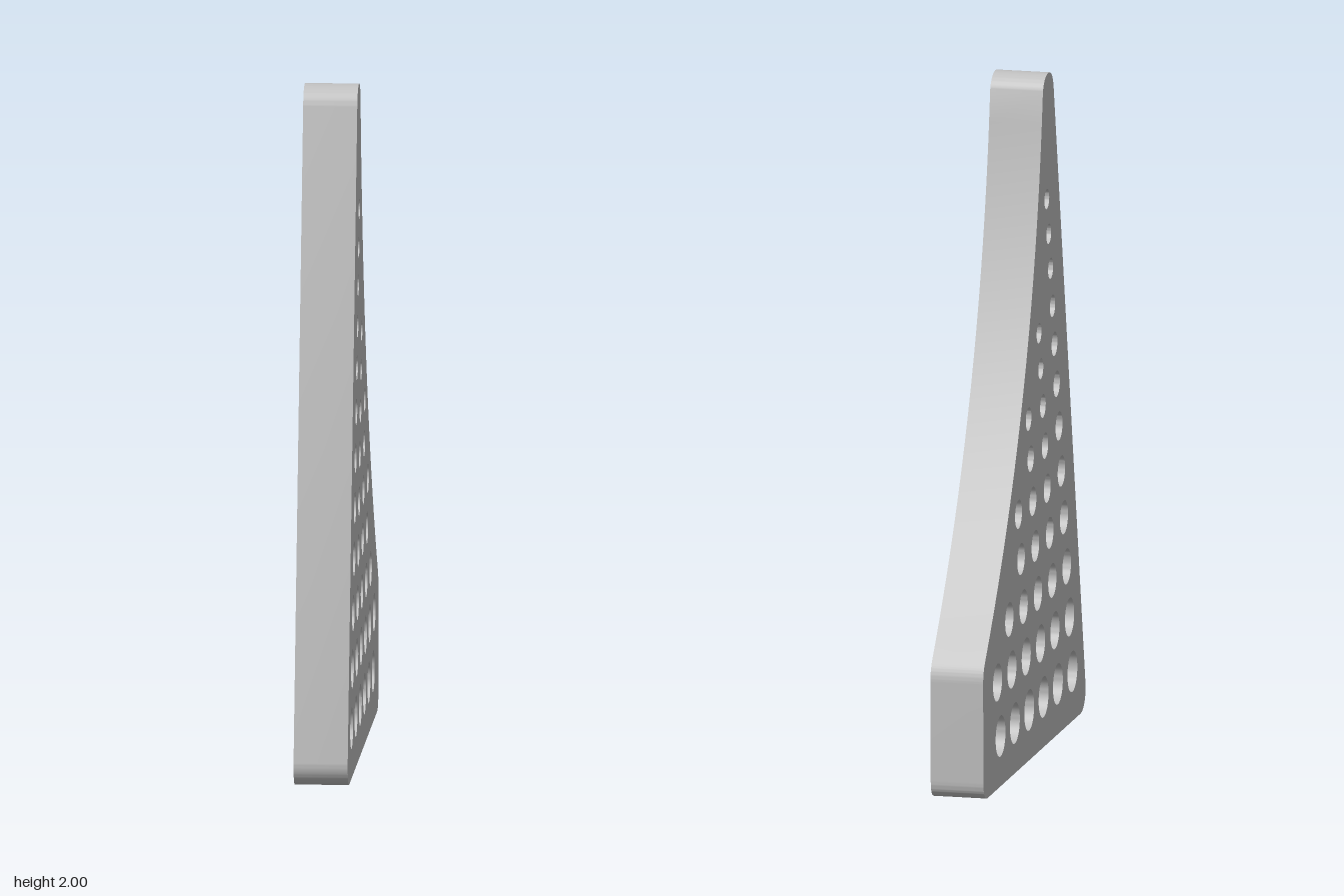
import * as THREE from 'three';
import { toCreasedNormals } from 'three/addons/utils/BufferGeometryUtils.js';

const THICKNESS = 0.158;
const COLUMN_STEP = 0.177;

// Edge column of holes: [z, y, radius]
const EDGE_HOLES = [
  [0.47, 0.148, 0.061], [0.435, 0.318, 0.057], [0.4, 0.477, 0.053], [0.366, 0.631, 0.05],
  [0.334, 0.776, 0.046], [0.305, 0.917, 0.043], [0.276, 1.049, 0.039], [0.249, 1.174, 0.036],
  [0.225, 1.293, 0.033], [0.201, 1.41, 0.031], [0.178, 1.518, 0.03], [0.154, 1.627, 0.03],
];

// Inner column, repeated backwards with fewer holes each time
const INNER_HOLES = [
  [0.291, 0.15, 0.061], [0.254, 0.318, 0.056], [0.222, 0.474, 0.051],
  [0.19, 0.623, 0.047], [0.159, 0.763, 0.043], [0.132, 0.896, 0.039],
  [0.106, 1.02, 0.035], [0.08, 1.137, 0.031], [0.058, 1.248, 0.03],
];
const INNER_COUNTS = [9, 7, 5, 3, 2];

// Side outline, drawn with shape x as model z
function finOutline() {
  const s = new THREE.Shape();
  s.moveTo(0.57, 0);
  s.bezierCurveTo(0.61, 0, 0.64, 0.035, 0.631, 0.08); // front foot corner
  s.lineTo(0.238, 1.945); // straight leading edge
  s.bezierCurveTo(0.23, 1.98, 0.205, 2, 0.17, 2); // rounded tip
  s.bezierCurveTo(0.136, 2, 0.11, 1.98, 0.105, 1.95);
  s.quadraticCurveTo(-0.008, 1.07, -0.61, 0.41); // concave trailing edge
  s.quadraticCurveTo(-0.632, 0.385, -0.632, 0.35);
  s.lineTo(-0.628, 0.055); // heel
  s.quadraticCurveTo(-0.628, 0, -0.573, 0);
  s.closePath();
  return s;
}

export function createModel() {
  const group = new THREE.Group();
  const grey = new THREE.MeshStandardMaterial({ color: 0xc0c0c0 });
  grey.name = 'plain grey';

  const shape = finOutline();
  const drill = (z, y, r) => {
    const hole = new THREE.Path();
    hole.absarc(z, y, r, 0, Math.PI * 2, true);
    shape.holes.push(hole);
  };
  EDGE_HOLES.forEach(([z, y, r]) => drill(z, y, r));
  INNER_COUNTS.forEach((count, column) => {
    INNER_HOLES.slice(0, count).forEach(([z, y, r]) => drill(z - column * COLUMN_STEP, y, r));
  });

  // Extrude through the thickness and turn the outline into the side plane
  const geometry = new THREE.ExtrudeGeometry(shape, {
    depth: THICKNESS, bevelEnabled: false, curveSegments: 20,
  });
  geometry.translate(0, 0, -THICKNESS / 2);
  geometry.rotateY(-Math.PI / 2);

  const fin = new THREE.Mesh(toCreasedNormals(geometry, Math.PI / 5), grey);
  fin.name = 'perforatedFin';
  group.add(fin);
  return group;
}
